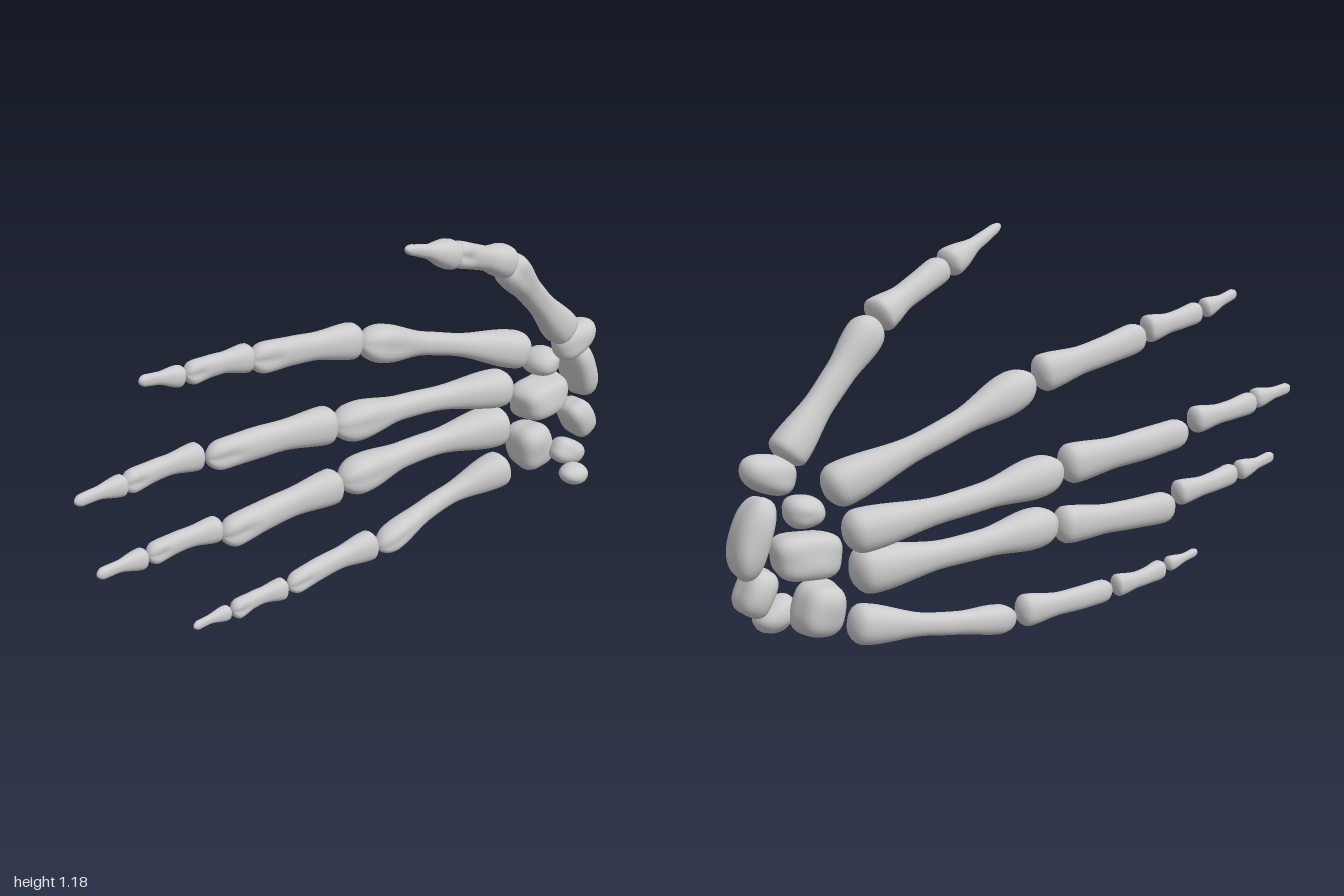
import * as THREE from 'three';

const material = new THREE.MeshStandardMaterial({ color: 0xcccccc, roughness: 0.7 });
const V = (p) => new THREE.Vector3(...p);

// Smooth interpolation through [t, value] keys
function sample(keys, t) {
  for (let i = 1; i < keys.length; i++) {
    if (t <= keys[i][0]) {
      const [t0, a] = keys[i - 1], [t1, b] = keys[i];
      return a + (b - a) * THREE.MathUtils.smoothstep(t, t0, t1);
    }
  }
  return keys[keys.length - 1][1];
}

// Long bone: elliptical rings swept from base to head, palm side facing +x.
// radii are the half heights; kx scales them into half depths along x.
function longBone(name, start, end, radii, { kx = 1, bow = 0.01, capBase = 0.06, capHead = 0.12, groove = 0.2, tip = false } = {}) {
  const a = V(start), b = V(end);
  const mid = a.clone().lerp(b, 0.5);
  mid.x -= bow;
  const curve = new THREE.CatmullRomCurve3([a, mid, b]);
  const [base, shaft, head] = radii;
  const keys = tip
    ? [[0, base * 0.9], [0.12, base], [0.6, shaft], [0.85, head], [1, head * 0.9]]
    : [[0, base * 0.95], [0.08, base], [0.42, shaft], [0.6, shaft * 1.03], [0.86, head], [1, head * 0.88]];
  const rings = 36, sides = 24, pos = [], index = [];
  for (let i = 0; i <= rings; i++) {
    const t = (1 - Math.cos(Math.PI * i / rings)) / 2;
    const c = curve.getPoint(t), T = curve.getTangent(t);
    const A = new THREE.Vector3(1, 0, 0).addScaledVector(T, -T.x).normalize();
    const B = new THREE.Vector3().crossVectors(T, A);
    const e = Math.max(0, 1 - t / capBase, 1 - (1 - t) / capHead);
    const r = sample(keys, t) * Math.sqrt(Math.max(0, 1 - e * e));
    const notch = groove * THREE.MathUtils.smoothstep(t, 0.68, 0.88);
    const flat = 0.12 * Math.sin(Math.PI * t);
    for (let j = 0; j < sides; j++) {
      const th = j / sides * Math.PI * 2, cs = Math.cos(th), sn = Math.sin(th);
      // Rounded-square section, flattened palm, notch between the condyles
      const sq = 1 / Math.pow(Math.pow(Math.abs(cs), 2.5) + Math.pow(Math.abs(sn), 2.5), 1 / 2.5);
      const palm = Math.max(0, cs);
      const k = r * sq * (1 - flat * palm - notch * Math.pow(palm, 8));
      const p = c.clone().addScaledVector(A, k * kx * cs).addScaledVector(B, k * sn);
      pos.push(p.x, p.y, p.z);
    }
  }
  for (let i = 0; i < rings; i++) {
    for (let j = 0; j < sides; j++) {
      const n = (j + 1) % sides, p = i * sides, q = p + sides;
      index.push(p + j, p + n, q + n, p + j, q + n, q + j);
    }
  }
  const g = new THREE.BufferGeometry();
  g.setAttribute('position', new THREE.Float32BufferAttribute(pos, 3));
  g.setIndex(index);
  g.computeVertexNormals();
  const mesh = new THREE.Mesh(g, material);
  mesh.name = name;
  return mesh;
}

// Wrist bone: squarish pebble with gentle hollows
function carpal(name, at, half, { tilt = 0, yaw = 0, power = 2.6, bend = 0, seed = 0 } = {}) {
  const g = new THREE.SphereGeometry(1, 32, 24);
  const p = g.attributes.position;
  const v = new THREE.Vector3();
  for (let i = 0; i < p.count; i++) {
    v.fromBufferAttribute(p, i);
    const n = Math.pow(Math.abs(v.x) ** power + Math.abs(v.y) ** power + Math.abs(v.z) ** power, 1 / power);
    const lump = 1 + 0.06 * Math.sin(3 * v.y + seed) * Math.cos(2.5 * v.z + seed * 2) + 0.04 * Math.sin(4 * v.x + seed);
    v.multiplyScalar(lump / n);
    v.z += bend * (0.5 - v.y * v.y);
    p.setXYZ(i, v.x * half[0], v.y * half[1], v.z * half[2]);
  }
  const normalSource = g.attributes.normal;
  g.computeVertexNormals();
  // Weld the shading across the sphere seam
  for (let r = 0; r <= 24; r++) {
    const s = r * 33, e = s + 32;
    v.fromBufferAttribute(normalSource, s).add(new THREE.Vector3().fromBufferAttribute(normalSource, e)).normalize();
    normalSource.setXYZ(s, v.x, v.y, v.z);
    normalSource.setXYZ(e, v.x, v.y, v.z);
  }
  const mesh = new THREE.Mesh(g, material);
  mesh.name = name;
  mesh.position.set(...at);
  mesh.rotation.set(tilt, yaw, 0);
  return mesh;
}

// Each bone: start, end, [base, shaft, head] half heights
const FINGERS = {
  index: [
    [[-0.10, 0.555, -0.73], [-0.10, 0.785, -0.03], [0.062, 0.036, 0.059]],
    [[-0.11, 0.795, -0.03], [-0.08, 0.865, 0.395], [0.056, 0.042, 0.046]],
    [[-0.08, 0.877, 0.395], [-0.05, 0.906, 0.64], [0.042, 0.031, 0.034]],
    [[-0.048, 0.908, 0.65], [-0.03, 0.945, 0.805], [0.031, 0.018, 0.017]],
  ],
  middle: [
    [[-0.125, 0.43, -0.685], [-0.14, 0.51, 0.045], [0.062, 0.038, 0.06]],
    [[-0.15, 0.52, 0.035], [-0.15, 0.56, 0.515], [0.06, 0.047, 0.046]],
    [[-0.145, 0.585, 0.535], [-0.11, 0.602, 0.825], [0.042, 0.031, 0.035]],
    [[-0.105, 0.607, 0.82], [-0.085, 0.62, 1.0], [0.032, 0.019, 0.018]],
  ],
  ring: [
    [[-0.11, 0.31, -0.655], [-0.105, 0.335, 0.05], [0.068, 0.04, 0.06]],
    [[-0.12, 0.325, 0.04], [-0.11, 0.31, 0.5], [0.057, 0.045, 0.049]],
    [[-0.11, 0.345, 0.505], [-0.08, 0.367, 0.78], [0.04, 0.031, 0.034]],
    [[-0.08, 0.367, 0.785], [-0.055, 0.388, 0.965], [0.032, 0.018, 0.018]],
  ],
  little: [
    [[-0.10, 0.155, -0.66], [-0.09, 0.052, -0.09], [0.058, 0.033, 0.044]],
    [[-0.10, 0.072, -0.085], [-0.075, 0.066, 0.285], [0.049, 0.035, 0.036]],
    [[-0.075, 0.07, 0.295], [-0.05, 0.084, 0.515], [0.035, 0.026, 0.031]],
    [[-0.05, 0.09, 0.525], [-0.03, 0.105, 0.67], [0.024, 0.014, 0.014]],
  ],
  thumb: [
    [[0.0, 0.635, -0.805], [0.06, 0.985, -0.465], [0.058, 0.042, 0.056]],
    [[0.06, 0.985, -0.47], [0.13, 1.105, -0.185], [0.052, 0.037, 0.04]],
    [[0.13, 1.1, -0.19], [0.19, 1.197, 0.05], [0.044, 0.02, 0.016]],
  ],
};

export function createModel() {
  const hand = new THREE.Group();
  hand.name = 'handBones';

  // Fingers and thumb
  for (const [finger, bones] of Object.entries(FINGERS)) {
    const group = new THREE.Group();
    group.name = finger + 'Finger';
    bones.forEach(([start, end, radii], i) => {
      const thumb = finger === 'thumb', last = i === bones.length - 1;
      const label = i === 0 ? 'Metacarpal' : last ? 'DistalPhalanx' : i === 1 ? 'ProximalPhalanx' : 'MiddlePhalanx';
      const style = i === 0
        ? { kx: thumb ? 0.95 : 1, bow: thumb ? 0.0 : 0.03, capBase: 0.06, capHead: 0.1, groove: 0.15 }
        : last
          ? { kx: thumb ? 1.05 : 0.85, bow: 0.004, capBase: 0.1, capHead: 0.14, groove: 0, tip: true }
          : { kx: thumb ? 1.05 : 0.85, bow: thumb ? 0 : 0.012, capBase: 0.08, capHead: 0.1, groove: 0.28 };
      group.add(longBone(finger + label, start, end, radii, style));
    });
    hand.add(group);
  }

  // Wrist
  const wrist = new THREE.Group();
  wrist.name = 'wrist';
  wrist.add(
    carpal('trapezium', [0.0, 0.6, -0.845], [0.058, 0.052, 0.08], { tilt: 0.3, seed: 1 }),
    carpal('trapezoid', [-0.08, 0.505, -0.787], [0.065, 0.042, 0.053], { seed: 2 }),
    carpal('capitate', [-0.08, 0.38, -0.785], [0.07, 0.064, 0.097], { tilt: 0.08, power: 3.5, seed: 3 }),
    carpal('scaphoid', [-0.06, 0.45, -0.935], [0.068, 0.118, 0.048], { tilt: 0.28, bend: -0.3, seed: 4 }),
    carpal('lunate', [-0.03, 0.28, -0.915], [0.06, 0.074, 0.05], { tilt: 0.45, seed: 5 }),
    carpal('hamate', [-0.08, 0.21, -0.745], [0.072, 0.078, 0.068], { tilt: 0.15, power: 3, seed: 6 }),
    carpal('triquetrum', [0.005, 0.19, -0.835], [0.05, 0.042, 0.065], { tilt: -0.5, seed: 7 }),
    carpal('pisiform', [0.08, 0.145, -0.8], [0.048, 0.033, 0.054], { tilt: -0.25, yaw: 0.2, power: 2.2, seed: 8 }),
  );
  hand.add(wrist);
  return hand;
}
